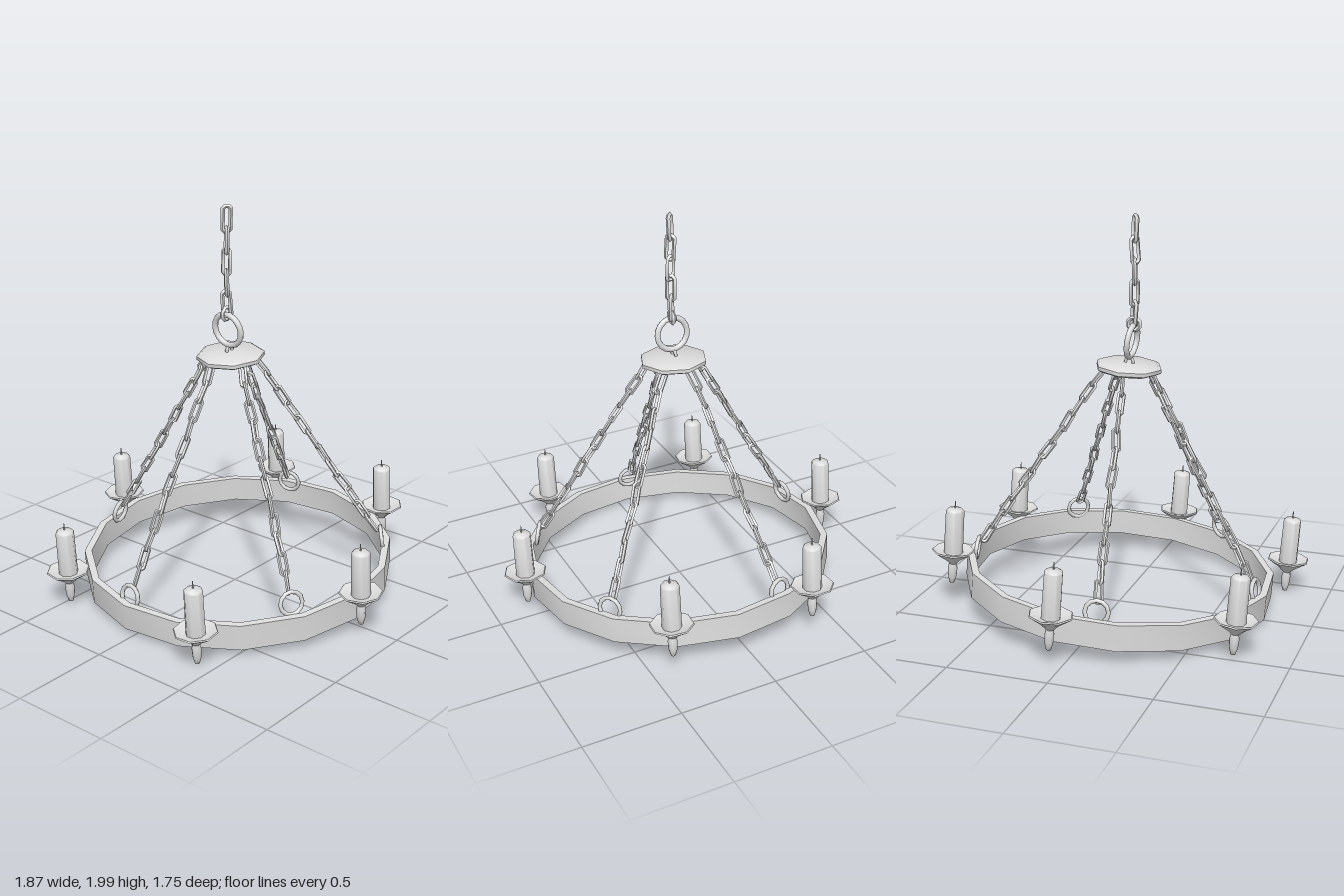
import * as THREE from 'three';
import { toCreasedNormals } from 'three/addons/utils/BufferGeometryUtils.js';

const UP = new THREE.Vector3(0, 1, 0);
const TILT = 0.075; // the hanging frame leans slightly forward

export function createModel() {
  const model = new THREE.Group();
  model.name = 'candleChandelier';
  const iron = new THREE.MeshStandardMaterial({ color: 0xdcdcdc });
  iron.name = 'pale grey';

  const add = (parent, name, geometry, x = 0, y = 0, z = 0) => {
    const mesh = new THREE.Mesh(geometry, iron);
    mesh.name = name;
    mesh.position.set(x, y, z);
    parent.add(mesh);
    return mesh;
  };
  const lathe = (profile, sides) => toCreasedNormals(
    new THREE.LatheGeometry(profile.map(([r, y]) => new THREE.Vector2(r, y)), sides), 0.9);

  // Chain link: an octagonal ring pulled apart along y
  const linkGeometry = (length, width, bar) => {
    const r = width / 2 - bar;
    const g = new THREE.TorusGeometry(r, bar, 4, 8);
    g.rotateZ(Math.PI / 8);
    const p = g.attributes.position;
    const stretch = (length - width) / 2;
    for (let i = 0; i < p.count; i++) p.setY(i, p.getY(i) + Math.sign(p.getY(i)) * stretch);
    return toCreasedNormals(g, 0.9);
  };

  // Chain of links between two points, each turned about a quarter from the last
  const addChain = (name, from, to, count, width, bar, twist) => {
    const chain = new THREE.Group();
    chain.name = name;
    const dir = to.clone().sub(from);
    const pitch = dir.length() / count;
    const link = linkGeometry(pitch + bar * 4, width, bar);
    const aim = new THREE.Quaternion().setFromUnitVectors(UP, dir.clone().normalize());
    for (let i = 0; i < count; i++) {
      const at = from.clone().addScaledVector(dir, (i + 0.5) / count);
      const mesh = add(chain, 'chainLink', link, at.x, at.y, at.z);
      const turn = twist + i * Math.PI / 2 + 0.4 * Math.sin(i * 2.1 + twist);
      const sway = new THREE.Euler(0.06 * Math.sin(i * 1.7 + twist), turn, 0.06 * Math.cos(i * 2.3));
      mesh.quaternion.copy(aim).multiply(new THREE.Quaternion().setFromEuler(sway));
    }
    model.add(chain);
  };

  // Tilted frame holding the band and candles
  const frame = new THREE.Group();
  frame.name = 'candleFrame';
  frame.position.y = 0.2;
  frame.rotation.set(TILT, 0, -0.01);
  model.add(frame);

  const band = add(frame, 'hoopBand', lathe(
    [[0.782, -0.11], [0.782, 0.02], [0.746, 0.02], [0.746, -0.11], [0.782, -0.11]], 16), 0.017);
  band.rotation.y = -0.08;

  // Candles with drip plates and pointed stems
  const holder = lathe([[0, -0.127], [0.012, -0.122], [0.021, -0.09], [0.024, -0.045], [0.019, -0.02],
    [0.045, 0.006], [0.108, 0.05], [0.104, 0.056], [0.05, 0.038], [0, 0.038]], 8);
  const wax = lathe([[0, 0.03], [0.048, 0.03], [0.046, 0.262], [0.038, 0.272], [0, 0.277]], 8);
  const wick = new THREE.CylinderGeometry(0.002, 0.005, 0.045, 5);
  const spots = [[-0.33, -0.775], [0.41, -0.73], [0.83, 0.065], [0.41, 0.782], [-0.467, 0.732], [-0.826, -0.053]];
  for (const [x, z] of spots) {
    const candle = new THREE.Group();
    candle.name = 'candle';
    candle.position.set(x, 0, z);
    candle.rotation.y = Math.atan2(x, z);
    add(candle, 'dripPlate', holder);
    add(candle, 'waxCandle', wax);
    add(candle, 'wick', wick, 0, 0.29, 0);
    frame.add(candle);
  }

  // Octagonal top plate
  const hub = new THREE.Vector3(0.01, 1.245, 0.046);
  const plate = add(model, 'topPlate', lathe([[0, -0.022], [0.14, -0.022], [0.167, -0.009],
    [0.167, 0.009], [0.148, 0.021], [0, 0.024]], 8), hub.x, hub.y, hub.z);
  plate.rotation.x = TILT;

  // Five chains down to eyelets on the inside of the band
  const eyelet = new THREE.TorusGeometry(0.056, 0.011, 6, 12);
  const eyes = [[-0.187, 0.285, -0.7], [0.6, 0.27, -0.445], [0.64, 0.235, 0.362],
    [-0.055, 0.185, 0.725], [-0.69, 0.245, 0.125]];
  eyes.forEach(([x, y, z], i) => {
    const ring = add(model, 'eyeletRing', eyelet, x, y, z);
    ring.rotation.order = 'YXZ';
    ring.rotation.set(-0.15, Math.atan2(x, z), 0);
    const a = Math.atan2(z - hub.z, x - hub.x);
    const top = new THREE.Vector3(hub.x + 0.125 * Math.cos(a), 1.228, hub.z + 0.125 * Math.sin(a));
    const bottom = new THREE.Vector3(x, y, z).lerp(top, 0.045);
    addChain('supportChain', top, bottom, 12, 0.052, 0.009, 0.5 + i * 0.6);
  });

  // Hanging ring, its staple and the chain above
  const staple = add(model, 'staple', new THREE.TorusGeometry(0.02, 0.008, 6, 10), 0.005, 1.273, 0.05);
  staple.rotation.y = Math.PI / 2;
  const ring = add(model, 'hangingRing', new THREE.TorusGeometry(0.08, 0.0145, 8, 18), 0.007, 1.378, 0.063);
  ring.rotation.x = 0.13;
  const collar = add(model, 'ringLink', linkGeometry(0.085, 0.085, 0.011), 0.006, 1.462, 0.073);
  collar.rotation.y = Math.PI / 2;
  addChain('hangingChain', new THREE.Vector3(0.008, 1.46, 0.073),
    new THREE.Vector3(0.012, 1.978, 0.077), 5, 0.062, 0.011, 0.6);

  return model;
}
